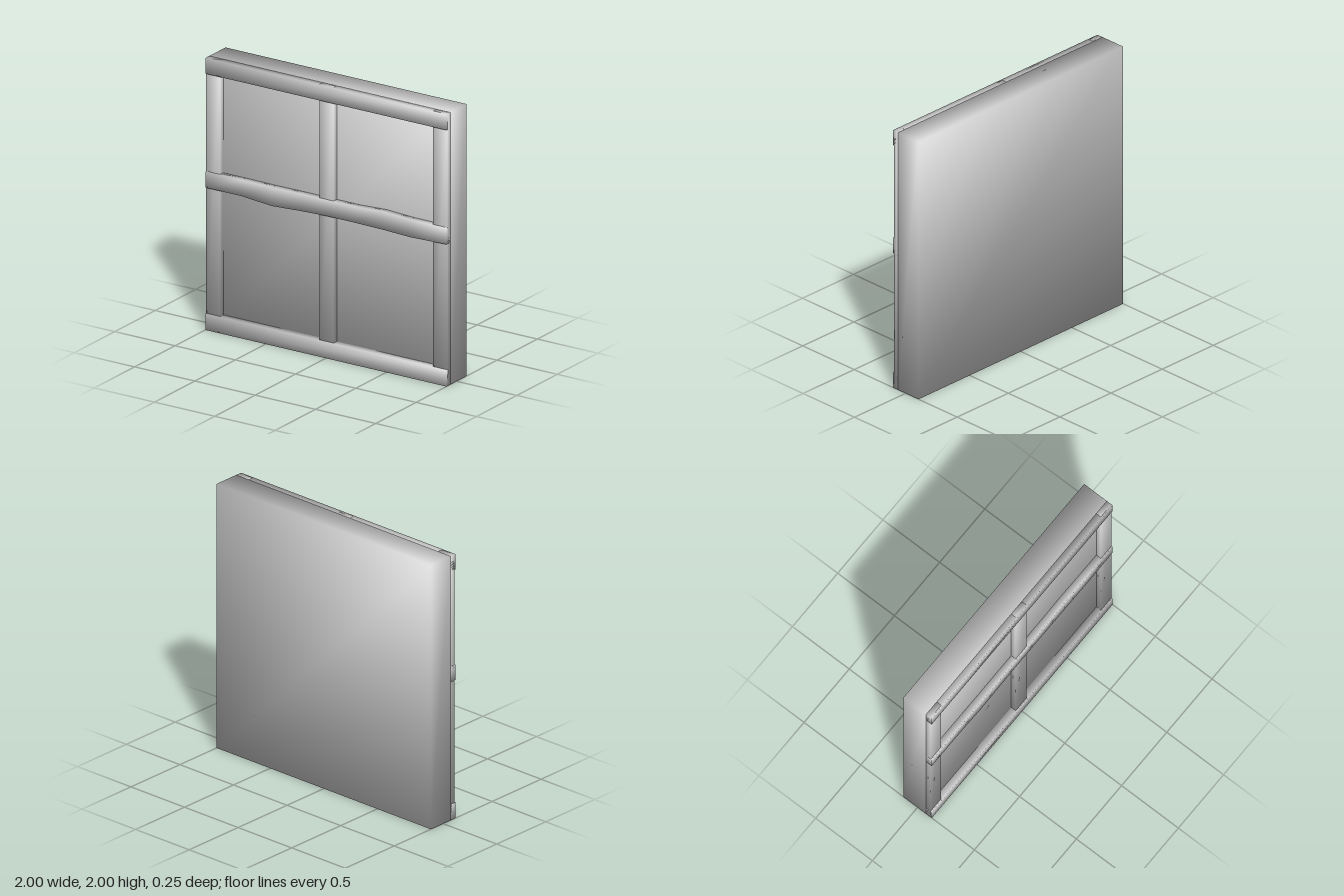
import * as THREE from 'three';
import { mergeVertices } from 'three/addons/utils/BufferGeometryUtils.js';

const material = new THREE.MeshStandardMaterial({ color: 0xcccccc });

// Box between two corners, with welded corners and normals that round every edge
function softBox(name, [x0, y0, z0], [x1, y1, z1], segments = 1) {
  const w = x1 - x0, h = y1 - y0, d = z1 - z0;
  let geometry = new THREE.BoxGeometry(w, h, d, segments, 1, 1);
  geometry.deleteAttribute('normal');
  geometry.deleteAttribute('uv');
  geometry = mergeVertices(geometry);
  const p = geometry.attributes.position;
  const normals = new Float32Array(p.count * 3);
  const n = new THREE.Vector3();
  for (let i = 0; i < p.count; i++) {
    const atEnd = Math.abs(p.getX(i)) > w / 2 - 1e-4;
    n.set(atEnd ? Math.sign(p.getX(i)) : 0, Math.sign(p.getY(i)), Math.sign(p.getZ(i)));
    n.normalize().toArray(normals, i * 3);
  }
  geometry.setAttribute('normal', new THREE.BufferAttribute(normals, 3));
  geometry.translate((x0 + x1) / 2, (y0 + y1) / 2, (z0 + z1) / 2);
  const mesh = new THREE.Mesh(geometry, material);
  mesh.name = name;
  return mesh;
}

export function createModel() {
  const group = new THREE.Group();
  group.name = 'timberWall';

  const back = -0.125, face = 0.075, postFront = 0.115, beamFront = 0.125;

  // Wall slab
  group.add(softBox('wallPanel', [-1, 0, back], [1, 2, face]));

  // Upright posts, running behind the beams
  for (const [name, x] of [['rightPost', -0.943], ['middlePost', -0.002], ['leftPost', 0.94]]) {
    const half = name === 'middlePost' ? 0.057 : 0.0575;
    const x0 = Math.max(-1, x - half), x1 = Math.min(1, x + half + 0.0025);
    group.add(softBox(name, [x0, 0, face], [x1, 2, postFront]));
  }

  // Straight bottom and top beams
  group.add(softBox('bottomBeam', [-1, 0, face], [1, 0.12, beamFront]));
  group.add(softBox('topBeam', [-1, 1.885, face], [1, 2, beamFront]));

  // Crooked middle beam: its upper and lower edges wander along the length
  const upper = [1.165, 1.165, 1.163, 1.165, 1.165, 1.165, 1.176, 1.165, 1.165];
  const lower = [1.047, 1.047, 1.026, 1.04, 1.047, 1.047, 1.044, 1.036, 1.045];
  const xs = [-1, -0.7, -0.45, -0.2, 0, 0.25, 0.47, 0.7, 1];
  const middle = softBox('middleBeam', [-1, 1.047, face], [1, 1.165, beamFront], xs.length - 1);
  const p = middle.geometry.attributes.position;
  for (let i = 0; i < p.count; i++) {
    const k = Math.round(((p.getX(i) + 1) / 2) * (xs.length - 1));
    p.setX(i, xs[k]);
    p.setY(i, p.getY(i) > 1.1 ? upper[k] : lower[k]);
  }
  group.add(middle);

  return group;
}
